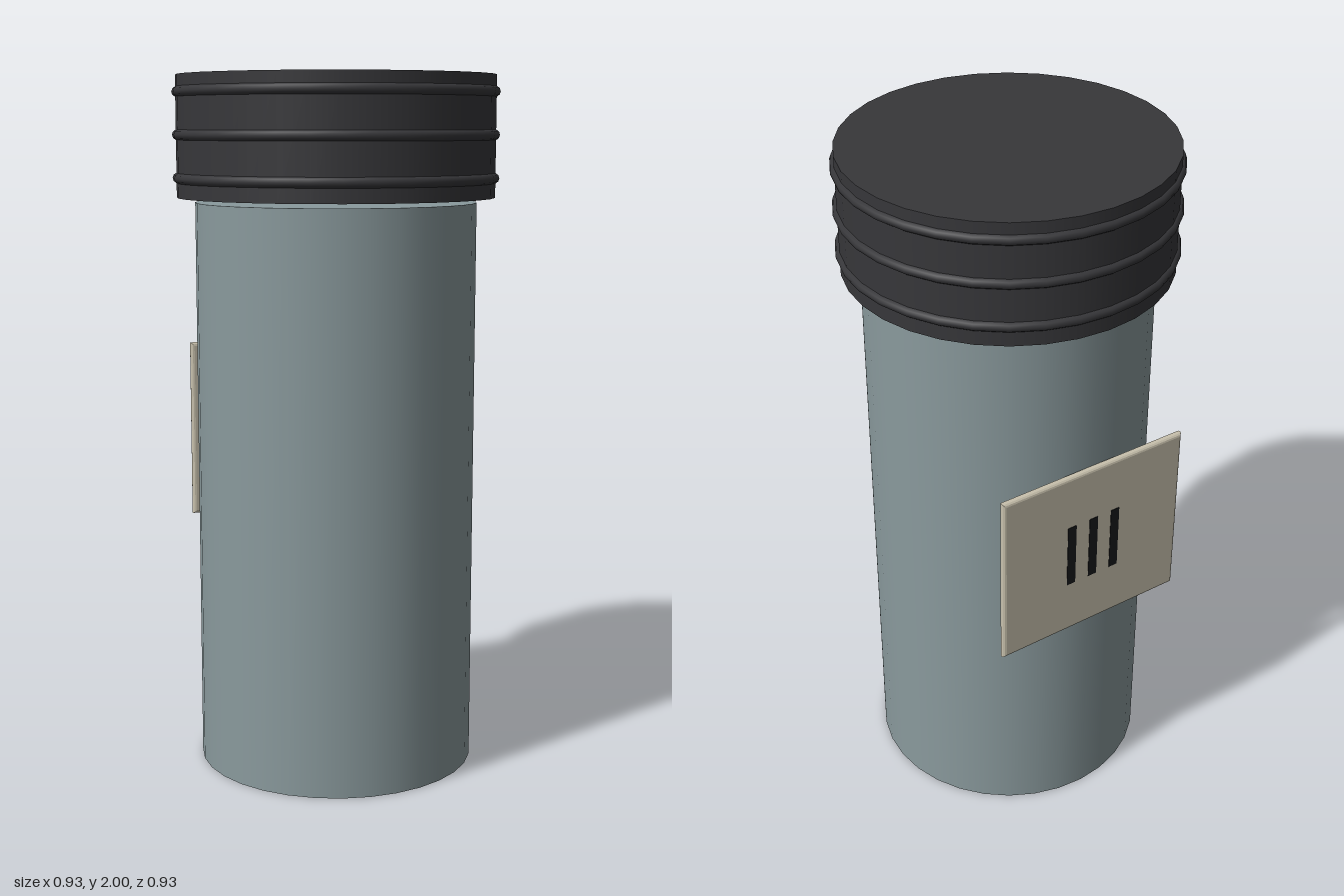
import * as THREE from 'three';

const SEGMENTS = 32;

export function createModel() {
  const model = new THREE.Group();
  model.name = 'canister';

  const bodyMat = new THREE.MeshStandardMaterial({ color: 0x8a9a9d });
  const lidMat = new THREE.MeshStandardMaterial({ color: 0x37373a });
  const plateMat = new THREE.MeshStandardMaterial({ color: 0xc9c2ae });
  const slotMat = new THREE.MeshStandardMaterial({ color: 0x16181a });

  const add = (parent, name, geometry, material, x, y, z) => {
    const mesh = new THREE.Mesh(geometry, material);
    mesh.name = name;
    mesh.position.set(x, y, z);
    parent.add(mesh);
    return mesh;
  };

  // Tall plain body
  add(model, 'body', new THREE.CylinderGeometry(0.403, 0.403, 1.643, SEGMENTS), bodyMat, 0, 0.8215, 0);

  // Lid floating just above the body, with three grip rings
  const lid = new THREE.Group();
  lid.name = 'lid';
  model.add(lid);
  add(lid, 'cap', new THREE.CylinderGeometry(0.455, 0.455, 0.343, SEGMENTS), lidMat, 0, 1.8285, 0);
  for (const y of [1.712, 1.833, 1.953]) {
    const ring = new THREE.TorusGeometry(0.451, 0.015, 10, SEGMENTS).rotateX(Math.PI / 2);
    add(lid, 'gripRing', ring, lidMat, 0, y, 0);
  }

  // Flat plate with rounded rim on the back
  const panel = new THREE.Group();
  panel.name = 'backPanel';
  panel.position.set(0, 0.938, -0.409);
  model.add(panel);
  const bevel = 0.01, w = 0.3 - bevel, h = 0.2675 - bevel;
  const outline = new THREE.Shape([[-w, -h], [w, -h], [w, h], [-w, h]].map(([x, y]) => new THREE.Vector2(x, y)));
  const plate = new THREE.ExtrudeGeometry(outline, {
    depth: 0.002, bevelThickness: bevel, bevelSize: bevel, bevelSegments: 3,
  });
  plate.translate(0, 0, -0.001);
  add(panel, 'plate', plate, plateMat, 0, 0, 0);

  // Three dark vertical slots
  for (const x of [-0.073, 0, 0.073]) {
    add(panel, 'slot', new THREE.BoxGeometry(0.028, 0.2, 0.01), slotMat, x, 0, -0.0075);
  }

  return model;
}
